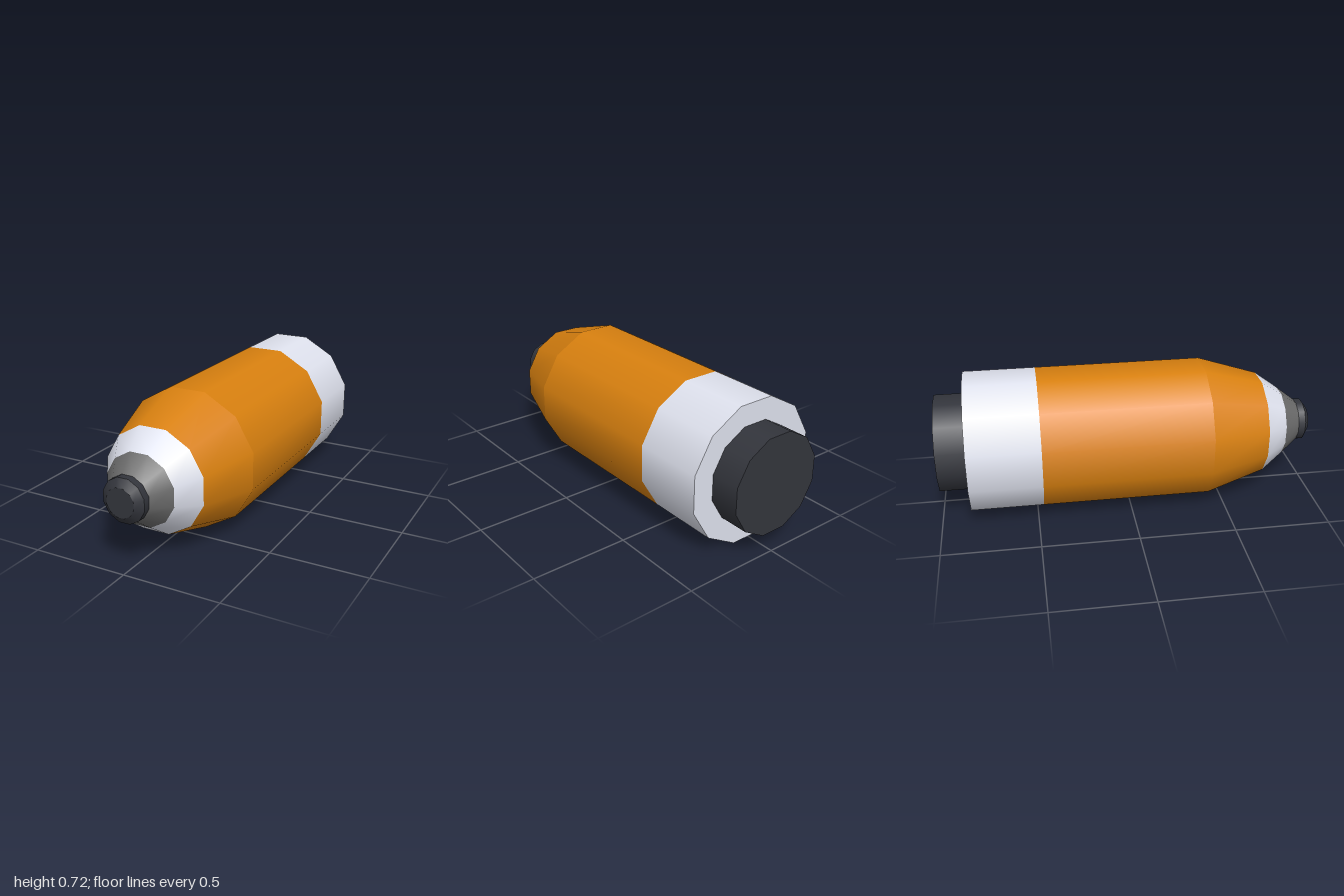
import * as THREE from 'three';

const SIDES = 12;
const AXIS_Y = 0.36;

// One crisp-edged ring of the body: each profile step is its own smooth-around band.
// Steps are [z, flat-to-centre radius], listed from back to front.
function turned(name, color, steps) {
  const part = new THREE.Group();
  part.name = name;
  const material = new THREE.MeshStandardMaterial({ color });
  for (let i = 0; i < steps.length - 1; i++) {
    const points = [steps[i], steps[i + 1]].map(
      ([z, r]) => new THREE.Vector2(r / Math.cos(Math.PI / SIDES), z));
    const geometry = new THREE.LatheGeometry(points, SIDES, Math.PI / SIDES);
    geometry.rotateX(Math.PI / 2);
    const mesh = new THREE.Mesh(geometry, material);
    mesh.name = `${name}Band${i + 1}`;
    part.add(mesh);
  }
  part.position.y = AXIS_Y;
  return part;
}

export function createModel() {
  const model = new THREE.Group();
  model.name = 'capsule';
  model.add(
    // Rear plug, with its closed back
    turned('rearPlug', 0x33353c, [[-1, 0], [-1, 0.25], [-0.845, 0.25]]),
    // Pale rear collar, including the flat step around the plug
    turned('rearCollar', 0xdfe2ee, [[-0.845, 0], [-0.845, 0.36], [-0.47, 0.36]]),
    // Orange barrel and its tapering shoulder
    turned('barrel', 0xd8800f, [[-0.47, 0.36], [0.405, 0.36], [0.72, 0.265]]),
    // Pale and grey bands of the nose cone
    turned('noseCollar', 0xdfe2ee, [[0.72, 0.265], [0.84, 0.181]]),
    turned('noseCone', 0x6a6a6a, [[0.84, 0.181], [0.935, 0.11]]),
    // Dark bevelled tip
    turned('tip', 0x33353c, [[0.935, 0.11], [0.972, 0.11], [1, 0.072], [1, 0]]),
  );
  return model;
}
